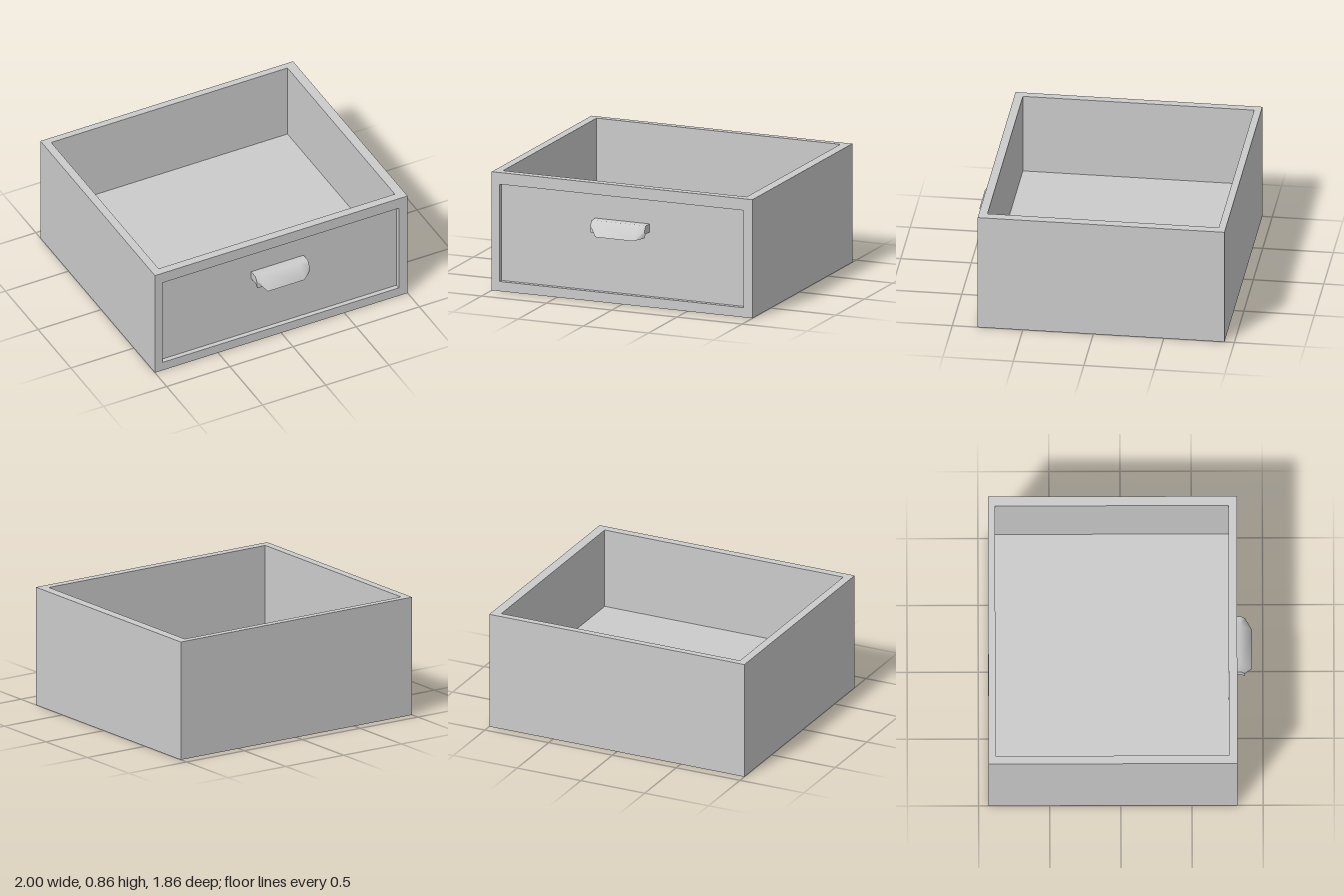
import * as THREE from 'three';
import { toCreasedNormals } from 'three/addons/utils/BufferGeometryUtils.js';

const material = new THREE.MeshStandardMaterial({ color: 0xcccccc });

function part(name, geometry) {
  const mesh = new THREE.Mesh(geometry, material);
  mesh.name = name;
  return mesh;
}

// Rectangle path from two corners
function rect(Type, x0, y0, x1, y1) {
  const p = new Type();
  p.moveTo(x0, y0);
  p.lineTo(x1, y0);
  p.lineTo(x1, y1);
  p.lineTo(x0, y1);
  p.closePath();
  return p;
}

// Rectangular ring with thickness
function ring(outer, inner, depth) {
  const shape = rect(THREE.Shape, ...outer);
  shape.holes.push(rect(THREE.Path, ...inner));
  return new THREE.ExtrudeGeometry(shape, { depth, bevelEnabled: false });
}

// Bent-plate pull: [z, y] sections lofted along x, with clipped lower corners
function handleGeometry() {
  const end = [[0.785, 0.595], [0.85, 0.595], [0.875, 0.562], [0.875, 0.51], [0.855, 0.535], [0.785, 0.535]];
  const middle = end.map((p) => [...p]);
  middle[2] = [0.925, 0.495];
  const sections = [[-0.22, end], [-0.16, middle], [0.13, middle], [0.195, end]];
  const n = end.length;
  const positions = [];
  const index = [];
  for (const [x, pts] of sections) for (const [z, y] of pts) positions.push(x, y, z);
  for (let s = 0; s < sections.length - 1; s++) {
    for (let i = 0; i < n; i++) {
      const a = s * n + i, b = s * n + (i + 1) % n;
      index.push(a, b, b + n, a, b + n, a + n);
    }
  }
  // End caps, split at the bend
  const last = (sections.length - 1) * n;
  for (const [a, b, c] of [[0, 1, 4], [0, 4, 5], [1, 2, 3], [1, 3, 4]]) {
    index.push(a, c, b, last + a, last + b, last + c);
  }
  const g = new THREE.BufferGeometry();
  g.setAttribute('position', new THREE.Float32BufferAttribute(positions, 3));
  g.setIndex(index);
  return toCreasedNormals(g, 1.0);
}

export function createModel() {
  const group = new THREE.Group();
  group.name = 'drawer';

  const height = 0.86, floorTop = 0.275;
  const back = -0.93, panelZ = 0.785, front = 0.82;
  const inL = -0.94, inR = 0.93, inBack = -0.88, inFront = 0.76;

  // Four walls, with the front one set back behind its frame
  const walls = ring([-1, -panelZ, 1, -back], [inL, -inFront, inR, -inBack], height);
  walls.rotateX(-Math.PI / 2);
  group.add(part('walls', walls));

  // Thick floor
  const floor = new THREE.BoxGeometry(inR - inL, floorTop, inFront - inBack);
  floor.translate((inL + inR) / 2, floorTop / 2, (inFront + inBack) / 2);
  group.add(part('floor', floor));

  // Raised border around the recessed front panel
  const frame = ring([-1, 0, 1, height], [inL, 0.07, inR, 0.775], front - panelZ);
  frame.translate(0, 0, panelZ);
  group.add(part('frontFrame', frame));

  group.add(part('handle', handleGeometry()));
  return group;
}
